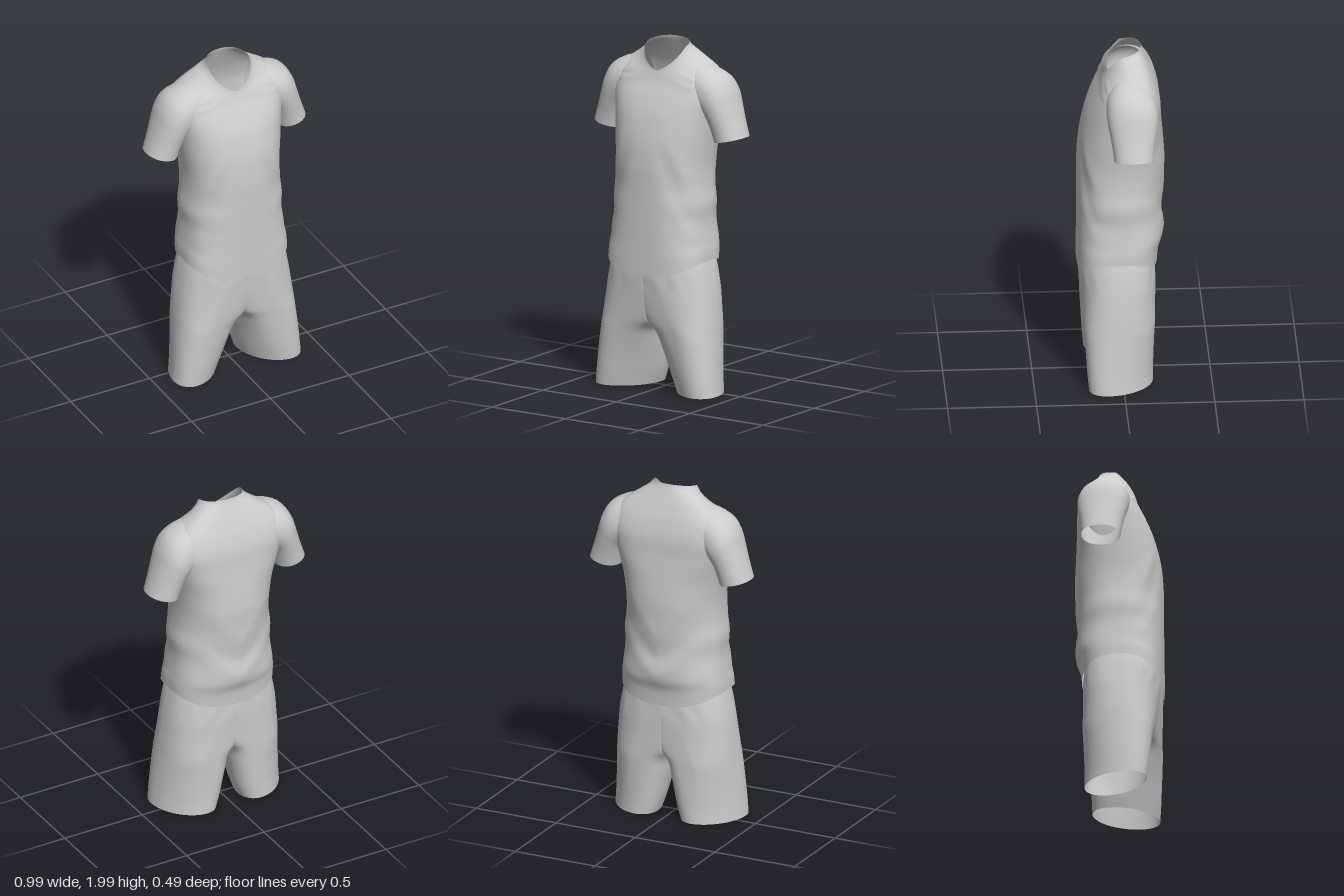
import * as THREE from 'three';

const fabric = new THREE.MeshStandardMaterial({ color: 0xcccccc, side: THREE.DoubleSide });
fabric.name = 'grey fabric';

// Smoothly resample a short list of cross-section parameters
function resample(rows, steps) {
  const out = [];
  const at = (i) => rows[Math.min(Math.max(i, 0), rows.length - 1)];
  for (let i = 0; i < rows.length - 1; i++) {
    for (let s = 0; s < steps; s++) {
      const t = s / steps;
      out.push(at(i).map((b, k) => {
        const a = at(i - 1)[k], c = at(i + 1)[k], d = at(i + 2)[k];
        return b + 0.5 * t * (c - a + t * (2 * a - 5 * b + 4 * c - d + t * (3 * (b - c) + d - a)));
      }));
    }
  }
  out.push(at(rows.length - 1));
  return out;
}

// Signed power, for rounded-square sections
const spow = (v, e) => Math.sign(v) * Math.pow(Math.abs(v), e);

// Skin closed rings listed from bottom to top; keep() may drop quads
function loft(name, rows, segments, point, side = 1, keep = () => true) {
  const pos = [], index = [];
  const rings = rows.map((r) => Array.from({ length: segments }, (_, j) =>
    point(r, (j / segments) * Math.PI * 2)));
  rings.forEach((ring) => ring.forEach((p) => pos.push(p[0] * side, p[1], p[2])));
  for (let i = 0; i < rings.length - 1; i++) {
    for (let j = 0; j < segments; j++) {
      const k = (j + 1) % segments;
      if (!keep([rings[i][j], rings[i][k], rings[i + 1][j], rings[i + 1][k]])) continue;
      const a = i * segments + j, b = i * segments + k, c = a + segments, d = b + segments;
      if (side > 0) index.push(a, c, b, b, c, d);
      else index.push(a, b, c, b, d, c);
    }
  }
  const geo = new THREE.BufferGeometry();
  geo.setAttribute('position', new THREE.Float32BufferAttribute(pos, 3));
  geo.setIndex(index);
  geo.computeVertexNormals();
  const mesh = new THREE.Mesh(geo, fabric);
  mesh.name = name;
  return mesh;
}

// Cloth folds fading from first to second point: x1, y1, x2, y2, width, height (mirrored in x)
const frontFolds = [
  [0.25, 1.02, 0.08, 1.50, 0.040, -0.009],
  [0.28, 1.18, 0.13, 1.52, 0.030, 0.008],
  [0.28, 0.92, 0.16, 1.14, 0.030, 0.007],
  [0.24, 1.77, 0.10, 1.80, 0.016, 0.005],
  [0.24, 1.81, 0.12, 1.85, 0.014, 0.004],
];
const backFolds = [
  [0.00, 0.89, 0.27, 1.08, 0.050, 0.008],
  [0.04, 1.00, 0.26, 1.22, 0.045, -0.006],
  [0.00, 1.12, 0.24, 1.40, 0.045, 0.005],
];
function foldHeight(folds, x, y) {
  let h = 0;
  for (const [x1, y1, x2, y2, w, amp] of folds) {
    const dx = x2 - x1, dy = y2 - y1, px = Math.abs(x) - x1, py = y - y1;
    const t = Math.min(Math.max((px * dx + py * dy) / (dx * dx + dy * dy), 0), 1);
    const d = Math.hypot(px - t * dx, py - t * dy) / w;
    h += amp * Math.cos(t * Math.PI / 2) * Math.exp(-d * d);
  }
  return h;
}

// Torso rings: front y, side y, back y, half width, front z, back z, side z,
// front roundness, back roundness, dip power
const torsoRows = [
  [0.69, 0.775, 0.70, 0.312, 0.250, -0.200, 0.02, 3.1, 2.6, 2],
  [0.78, 0.83, 0.79, 0.310, 0.250, -0.210, 0.01, 3.0, 2.5, 2],
  [0.87, 0.89, 0.87, 0.302, 0.250, -0.232, 0, 2.8, 2.3, 2],
  [1.00, 1.00, 1.00, 0.292, 0.250, -0.230, 0, 2.6, 2.1, 2],
  [1.10, 1.10, 1.10, 0.297, 0.250, -0.233, 0, 2.5, 2.05, 2],
  [1.20, 1.20, 1.20, 0.284, 0.250, -0.238, 0, 2.4, 2.05, 2],
  [1.32, 1.32, 1.32, 0.281, 0.249, -0.244, 0, 2.4, 2.2, 2],
  [1.46, 1.46, 1.46, 0.295, 0.237, -0.235, -0.01, 2.4, 2.5, 2],
  [1.60, 1.60, 1.60, 0.312, 0.205, -0.222, -0.04, 2.6, 3.3, 2],
  [1.70, 1.71, 1.71, 0.325, 0.165, -0.215, -0.05, 2.8, 3.8, 2],
  [1.77, 1.795, 1.80, 0.322, 0.130, -0.192, -0.06, 2.8, 3.6, 2],
  [1.81, 1.858, 1.87, 0.283, 0.115, -0.165, -0.06, 2.6, 3.0, 1.6],
  [1.828, 1.915, 1.94, 0.205, 0.109, -0.135, -0.04, 2.2, 2.4, 1.2],
  [1.836, 1.95, 1.98, 0.150, 0.106, -0.118, -0.01, 2.1, 2.2, 1],
  [1.84, 1.978, 2.00, 0.130, 0.105, -0.112, 0, 2.1, 2.2, 1],
];
function torsoPoint([yF, yS, yB, hw, zF, zB, zS, nF, nB, p], a) {
  const c = Math.cos(a), s = Math.sin(a), front = s >= 0;
  const n = front ? nF : nB, reach = Math.pow(Math.abs(s), 2 / n);
  const x = hw * spow(c, 2 / n);
  // the neckline dips to a soft V in front
  const vee = front ? 0.35 * Math.max(0, 2 - p) : 0;
  const dip = (1 - vee) * Math.pow(Math.abs(s), p) + vee * (1 - Math.abs(c));
  const y = yS + ((front ? yF : yB) - yS) * dip;
  const fold = foldHeight(front ? frontFolds : backFolds, x, y) * Math.min(1, reach * 1.5);
  return [x, y, zS + ((front ? zF : zB) - zS) * reach + (front ? fold : -fold)];
}

// Sleeve rings: outer x, y, inner x, y, front z, back z
const sleeveRows = [
  [0.497, 1.49, 0.318, 1.45, 0.060, -0.160],
  [0.467, 1.58, 0.305, 1.50, 0.068, -0.168],
  [0.436, 1.68, 0.285, 1.56, 0.082, -0.182],
  [0.412, 1.755, 0.255, 1.60, 0.092, -0.192],
  [0.370, 1.822, 0.215, 1.63, 0.097, -0.190],
  [0.300, 1.863, 0.185, 1.66, 0.092, -0.175],
  [0.225, 1.888, 0.160, 1.70, 0.070, -0.145],
];
function sleevePoint([xo, yo, xi, yi, zF, zB], a) {
  const c = spow(Math.cos(a), 0.92), s = spow(Math.sin(a), 0.92);
  return [(xo + xi) / 2 + (xo - xi) / 2 * c, (yo + yi) / 2 + (yo - yi) / 2 * c,
    (zF + zB) / 2 + (zF - zB) / 2 * s];
}

// Shorts rings: y, inner x, outer x, front z, back z, outer and inner roundness, skew;
// halves meet at x = 0 above the crotch, and the skew turns the legs outward
const legRows = [
  [0.01, 0.080, 0.395, 0.195, -0.170, 2.05, 2.05, 0.40],
  [0.10, 0.052, 0.387, 0.203, -0.172, 2.1, 2.1, 0.36],
  [0.24, 0.024, 0.374, 0.212, -0.178, 2.15, 2.5, 0.27],
  [0.35, 0.004, 0.363, 0.219, -0.183, 2.2, 3.2, 0.18],
  [0.42, -0.060, 0.357, 0.223, -0.185, 2.25, 3.6, 0.12],
  [0.50, -0.130, 0.348, 0.228, -0.187, 2.3, 3.4, 0.07],
  [0.60, -0.210, 0.335, 0.235, -0.190, 2.4, 2.8, 0.02],
  [0.70, -0.280, 0.316, 0.241, -0.190, 2.5, 2.5, 0],
  [0.76, -0.295, 0.302, 0.238, -0.188, 2.5, 2.5, 0],
  [0.82, -0.285, 0.285, 0.225, -0.180, 2.5, 2.5, 0],
];
function legPoint([y, xi, xo, zF, zB, nO, nI, skew], a) {
  const c = Math.cos(a), s = Math.sin(a + skew);
  const n = nO + (nI - nO) * THREE.MathUtils.smoothstep(-c, -0.3, 0.5);
  const x = (xo + xi) / 2 + (xo - xi) / 2 * spow(c, 2 / n);
  // gathers under the shirt hem
  const gather = 0.003 * Math.sin(a * 14) * Math.exp(-Math.pow((y - 0.66) / 0.05, 2));
  return [Math.max(0, x), y, (zF + zB) / 2 + ((zF - zB) / 2 + gather) * spow(s, 2 / n)];
}

export function createModel() {
  const model = new THREE.Group();
  model.name = 'sports kit';

  const shirt = new THREE.Group();
  shirt.name = 'shirt';
  shirt.add(loft('shirt body', resample(torsoRows, 6), 128, torsoPoint));

  const shorts = new THREE.Group();
  shorts.name = 'shorts';
  for (const [label, side] of [['left', 1], ['right', -1]]) {
    shirt.add(loft(label + ' sleeve', resample(sleeveRows, 5), 48, sleevePoint, side));
    // no wall where the two halves of the shorts join
    shorts.add(loft(label + ' shorts leg', resample(legRows, 6), 96, legPoint, side,
      (quad) => quad.some((p) => p[0] > 1e-5)));
  }

  model.add(shirt, shorts);
  return model;
}
